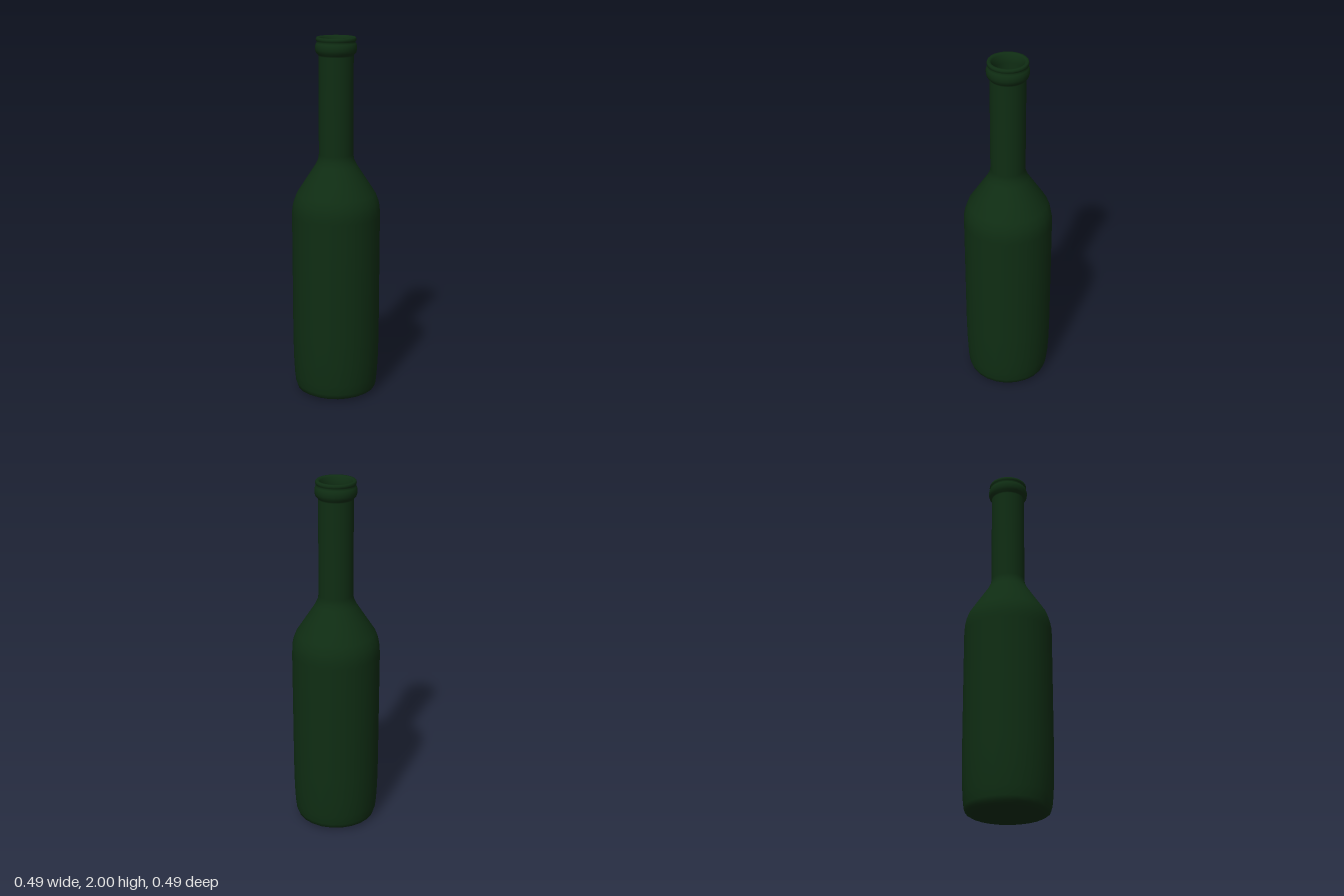
import * as THREE from 'three';

const SIDES = 24;

// Turns [radius, height] pairs into a smooth body of revolution
function lathe(name, profile, material) {
  const points = profile.map(([r, y]) => new THREE.Vector2(r, y));
  const mesh = new THREE.Mesh(new THREE.LatheGeometry(points, SIDES), material);
  mesh.name = name;
  return mesh;
}

export function createModel() {
  const group = new THREE.Group();
  group.name = 'bottle';
  const glass = new THREE.MeshStandardMaterial({ color: 0x0f2d13, side: THREE.DoubleSide });
  const wine = new THREE.MeshStandardMaterial({ color: 0x350f16 });

  // Outer wall from the base up, over the lip, then down the inner wall
  const outer = [
    [0, 0], [0.17, 0.003], [0.205, 0.01], [0.222, 0.02], [0.23, 0.045], [0.236, 0.1],
    [0.241, 0.2], [0.243, 0.35], [0.243, 1.03], [0.241, 1.07], [0.234, 1.105],
    [0.217, 1.15], [0.165, 1.23], [0.113, 1.31], [0.099, 1.34], [0.094, 1.37],
    [0.094, 1.9],
  ];
  const lip = [
    [0.096, 1.908], [0.107, 1.918], [0.112, 1.935], [0.112, 1.953], [0.107, 1.968],
    [0.1, 1.976], [0.107, 1.982], [0.108, 1.992], [0.104, 2], [0.092, 2],
    [0.085, 1.992], [0.079, 1.975], [0.073, 1.95],
  ];
  const inner = [
    [0.073, 1.38], [0.079, 1.33], [0.093, 1.3], [0.196, 1.14], [0.22, 1.06],
    [0.223, 1], [0.223, 0.3], [0.216, 0.1], [0.2, 0.035], [0, 0.025],
  ];
  group.add(lathe('glassBottle', [...outer, ...lip, ...inner], glass));

  // Liquid resting just inside the inner wall, with a flat surface
  group.add(lathe('liquid', [
    [0, 0.03], [0.195, 0.04], [0.212, 0.1], [0.219, 0.3], [0.219, 1], [0.216, 1.06],
    [0.192, 1.138], [0.089, 1.298], [0.076, 1.328], [0.0755, 1.335],
  ], wine));
  const surface = new THREE.Mesh(new THREE.CircleGeometry(0.0755, SIDES), wine);
  surface.name = 'liquidSurface';
  surface.rotation.x = -Math.PI / 2;
  surface.position.y = 1.335;
  group.add(surface);

  return group;
}
